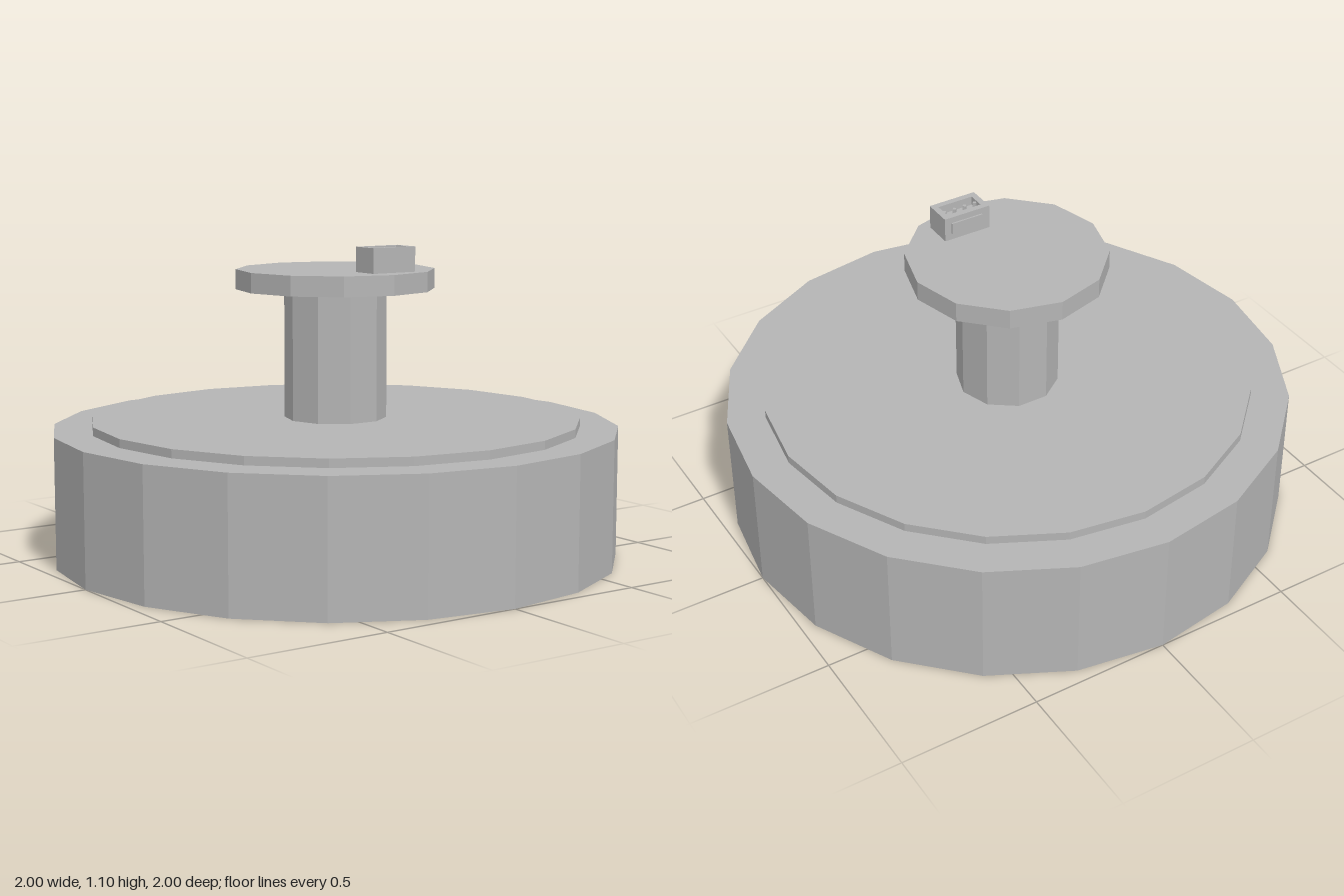
import * as THREE from 'three';

export function createModel() {
  const model = new THREE.Group();
  const grey = new THREE.MeshStandardMaterial({ color: 0xb4b4b4, flatShading: true });
  grey.name = 'plain grey';

  function add(name, geometry, x, y, z, parent = model) {
    const mesh = new THREE.Mesh(geometry, grey);
    mesh.name = name;
    mesh.position.set(x, y, z);
    parent.add(mesh);
    return mesh;
  }

  // Faceted disc standing between two heights, with corners on the x axis
  function disc(name, radius, sides, bottom, top) {
    const geometry = new THREE.CylinderGeometry(radius, radius, top - bottom, sides, 1, false, Math.PI / 2);
    add(name, geometry, 0, (bottom + top) / 2, 0);
  }

  disc('base', 1, 20, 0, 0.46);
  disc('basePlate', 0.865, 20, 0.46, 0.49);
  disc('column', 0.18, 10, 0.49, 0.945);
  disc('topDisc', 0.35, 12, 0.945, 1.015);

  // Small open-topped connector on the top disc
  const connector = new THREE.Group();
  connector.name = 'connector';
  connector.position.set(0.057, 1.015, 0.22);
  model.add(connector);

  const w = 0.176, d = 0.104, h = 0.087, wall = 0.022;
  const rect = (Path, a, b) => new Path([[-a, -b], [a, -b], [a, b], [-a, b]].map(([x, y]) => new THREE.Vector2(x, y)));
  const outline = rect(THREE.Shape, w / 2, d / 2);
  outline.holes.push(rect(THREE.Path, w / 2 - wall, d / 2 - wall));
  const walls = new THREE.ExtrudeGeometry(outline, { depth: h, bevelEnabled: false });
  walls.rotateX(-Math.PI / 2);
  add('connectorWalls', walls, 0, 0, 0, connector);
  add('connectorFloor', new THREE.BoxGeometry(w - 2 * wall, 0.055, d - 2 * wall), 0, 0.0275, 0, connector);
  add('connectorRib', new THREE.BoxGeometry(0.12, 0.04, 0.006), 0.003, 0.045, -d / 2 - 0.003, connector);

  // Row of four-sided contact pins
  for (let i = 0; i < 4; i++) {
    const pin = new THREE.CylinderGeometry(0.008, 0.008, 0.027, 4);
    add('connectorPin', pin, (i - 1.5) * 0.04, 0.0685, 0, connector);
  }

  return model;
}
